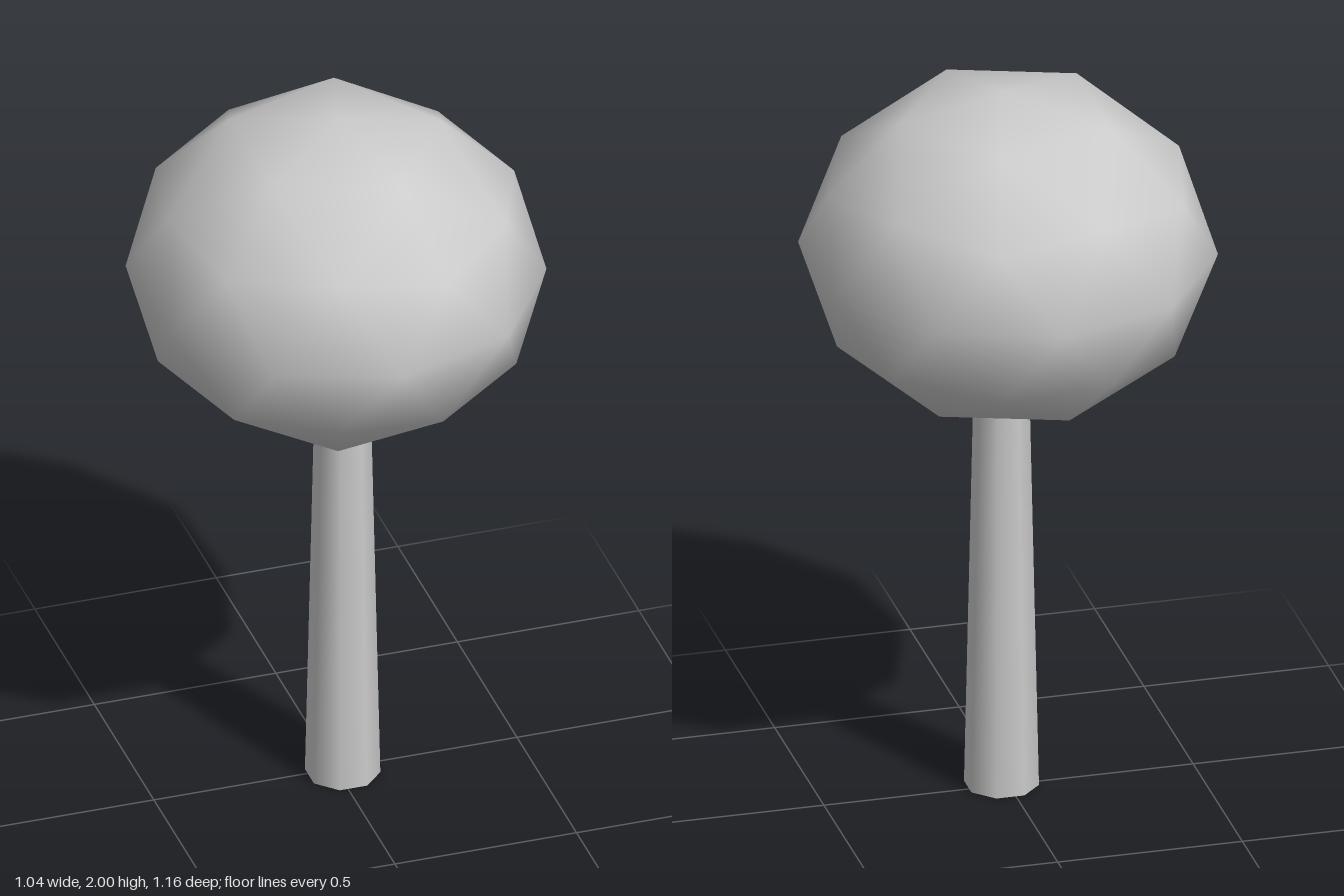
import * as THREE from 'three';
import { ConvexGeometry } from 'three/addons/geometries/ConvexGeometry.js';
import { mergeVertices } from 'three/addons/utils/BufferGeometryUtils.js';

const material = new THREE.MeshStandardMaterial({ color: 0xcccccc });
const RAD = Math.PI / 180;

// Crown: a once-subdivided icosahedron, slightly flattened, with smooth normals
function crownGeometry() {
  const midY = 1.545;
  const points = [new THREE.Vector3(0.01, 2, 0), new THREE.Vector3(0.01, 1.115, 0)];
  const ring = (count, start, radius, height) => {
    for (let i = 0; i < count; i++) {
      const a = (start + (i * 360) / count) * RAD;
      points.push(new THREE.Vector3(
        0.545 * radius * Math.cos(a),
        midY + height * (height > 0 ? 0.455 : 0.435),
        0.575 * radius * Math.sin(a) + 0.005));
    }
  };
  ring(5, 0, 0.53, 0.87);
  ring(5, 0, 0.9, 0.447);
  ring(5, 36, 0.85, 0.526);
  ring(10, 18, 1.005, 0);
  ring(5, 36, 0.9, -0.447);
  ring(5, 0, 0.85, -0.526);
  ring(5, 36, 0.53, -0.87);
  const geometry = new ConvexGeometry(points);
  geometry.deleteAttribute('normal');
  const smooth = mergeVertices(geometry, 1e-4);
  smooth.computeVertexNormals();
  return smooth;
}

// Trunk section: eight-sided tapered tube whose end loops may be slanted
const trunkRadius = (y) => 0.099 - 0.022 * y;
function trunkSection(y0, y1, slope0, slope1) {
  const geometry = new THREE.CylinderGeometry(1, 1, 1, 8, 1, true, Math.PI / 8);
  const p = geometry.attributes.position;
  for (let i = 0; i < p.count; i++) {
    const top = p.getY(i) > 0;
    const x = p.getX(i), z = p.getZ(i);
    const y = (top ? y1 : y0) + (top ? slope1 : slope0) * (x * 0.85 + z * 0.5);
    const r = trunkRadius(y);
    p.setXYZ(i, 0.015 + x * r, y, 0.015 + z * r);
  }
  return geometry;
}

export function createModel() {
  const model = new THREE.Group();
  const add = (name, geometry) => {
    const mesh = new THREE.Mesh(geometry, material);
    mesh.name = name;
    model.add(mesh);
    return mesh;
  };

  add('crown', crownGeometry());

  // Trunk in three sections, parted by slanted creases
  add('lowerTrunk', trunkSection(0, 0.62, 0, -0.07));
  add('middleTrunk', trunkSection(0.62, 1.06, -0.07, 0.05));
  add('upperTrunk', trunkSection(1.06, 1.2, 0.05, 0));

  // Flat underside of the trunk
  const base = add('trunkBase', new THREE.CircleGeometry(trunkRadius(0), 8, Math.PI / 8));
  base.rotation.x = Math.PI / 2;
  base.position.set(0.015, 0, 0.015);

  return model;
}
